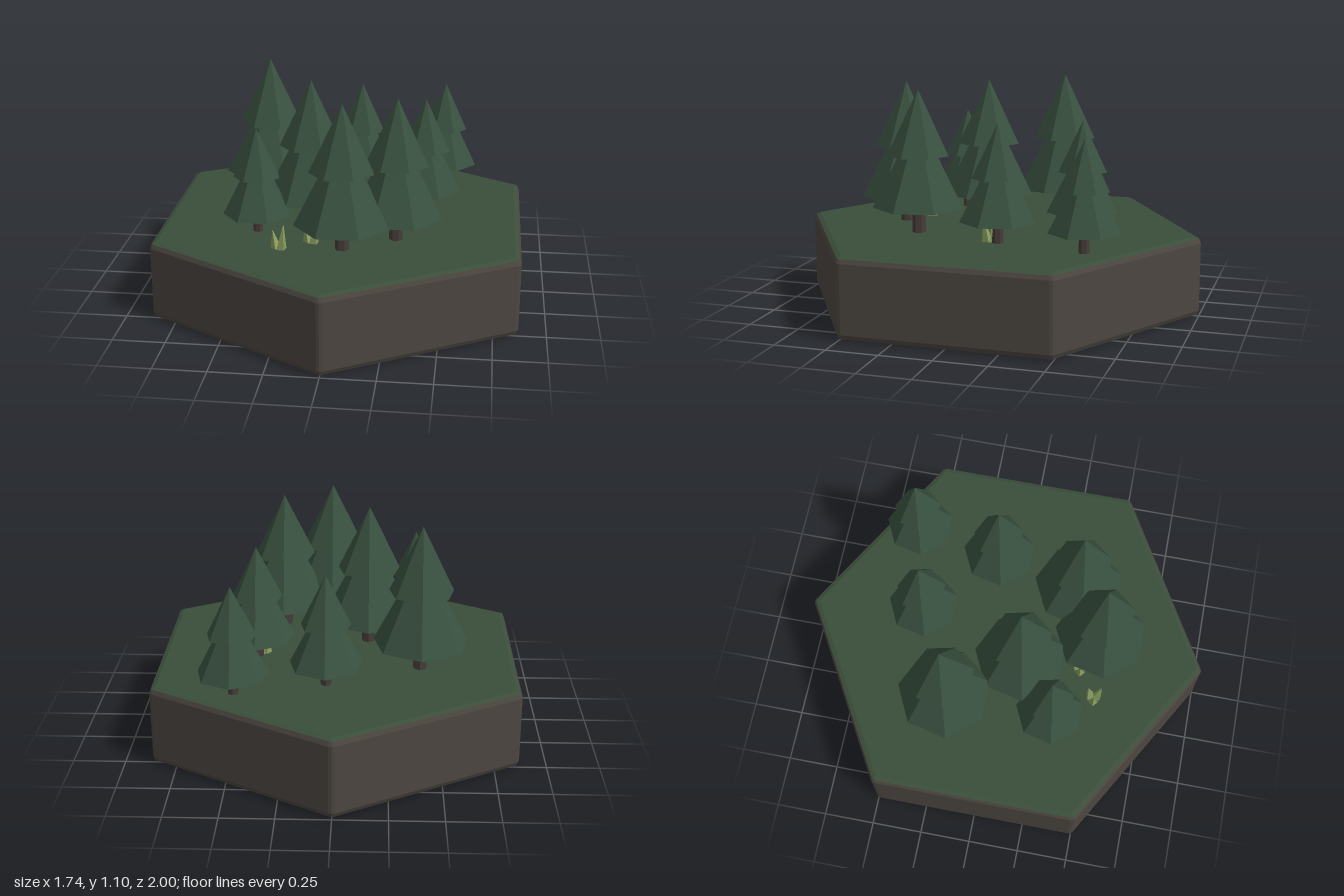
import * as THREE from 'three';

const mat = (name, color) => new THREE.MeshStandardMaterial({ name, color });
const GROUND = 0.39;

// Flat-shaded mesh from any geometry
function facet(name, geometry, material) {
  const geo = geometry.index ? geometry.toNonIndexed() : geometry;
  geo.computeVertexNormals();
  const mesh = new THREE.Mesh(geo, material);
  mesh.name = name;
  return mesh;
}

// Hexagon outline with corners rounded by e, at height y
function hexRing(e, y) {
  const ring = [];
  for (let k = 0; k < 6; k++) {
    const a = k * Math.PI / 3;
    for (const d of [-Math.PI / 6, 0, Math.PI / 6]) {
      ring.push([0.97 * Math.sin(a) + e * Math.sin(a + d), y, 0.97 * Math.cos(a) + e * Math.cos(a + d)]);
    }
  }
  return ring;
}

// Joins rings from bottom to top, with optional end caps
function loft(rings, capBottom, capTop) {
  const pos = [];
  const tri = (a, b, c) => pos.push(...a, ...b, ...c);
  const n = rings[0].length;
  const first = rings[0], last = rings[rings.length - 1];
  for (let i = 0; i < n; i++) {
    const j = (i + 1) % n;
    for (let r = 0; r < rings.length - 1; r++) {
      const lo = rings[r], hi = rings[r + 1];
      tri(lo[i], lo[j], hi[j]);
      tri(lo[i], hi[j], hi[i]);
    }
    if (capBottom) tri([0, first[0][1], 0], first[j], first[i]);
    if (capTop) tri([0, last[0][1], 0], last[i], last[j]);
  }
  const geo = new THREE.BufferGeometry();
  geo.setAttribute('position', new THREE.Float32BufferAttribute(pos, 3));
  return geo;
}

export function createModel() {
  const model = new THREE.Group();
  model.name = 'forestTile';
  const earth = mat('earth', 0x4c4640);
  const grass = mat('grass', 0x3a4e3a);
  const needles = mat('needles', 0x395140);
  const bark = mat('bark', 0x463c38);
  const tuftGreen = mat('tuftGreen', 0x8ba060);

  // Bevelled hexagonal slab and its grass top
  model.add(facet('slab', loft([
    hexRing(0, 0), hexRing(0.021, 0.009), hexRing(0.03, 0.03),
    hexRing(0.03, 0.36), hexRing(0.021, 0.381),
  ], true, false), earth));
  model.add(facet('grassTop', loft([hexRing(0.021, 0.381), hexRing(0, GROUND)], false, true), grass));

  // Two-tier seven-sided firs: x, z, scale
  const tier = (name, radius, bottom, height) => {
    const mesh = facet(name, new THREE.ConeGeometry(radius, height, 7, 1, false, Math.PI), needles);
    mesh.position.y = bottom + height / 2;
    return mesh;
  };
  const trees = [
    [-0.40, -0.23, 1], [0.045, -0.43, 0.76], [0.47, -0.54, 0.735], [0.39, -0.11, 0.79],
    [-0.15, 0.10, 0.985], [-0.385, 0.29, 0.72], [0.04, 0.47, 0.985], [0.28, 0.32, 0.97],
  ];
  trees.forEach(([x, z, s], i) => {
    const tree = new THREE.Group();
    tree.name = `tree${i + 1}`;
    const trunk = facet('trunk', new THREE.CylinderGeometry(0.032, 0.034, 0.2, 7, 1, false, Math.PI), bark);
    trunk.position.y = 0.1;
    tree.add(trunk, tier('lowerBranches', 0.23, 0.13, 0.45), tier('upperBranches', 0.157, 0.388, 0.324));
    tree.position.set(x, GROUND, z);
    tree.scale.setScalar(s);
    model.add(tree);
  });

  // Grass tufts of three leaning blades
  [[-0.25, 0.49], [-0.11, 0.40], [0.37, -0.07]].forEach(([x, z], i) => {
    const tuft = new THREE.Group();
    tuft.name = `tuft${i + 1}`;
    for (let k = 0; k < 3; k++) {
      const height = 0.125 - k * 0.015;
      const blade = facet('blade', new THREE.ConeGeometry(0.026, height, 4).translate(0, height / 2, 0), tuftGreen);
      blade.rotation.x = 0.15;
      blade.position.z = 0.018;
      const turn = new THREE.Group();
      turn.name = 'bladeTurn';
      turn.rotation.y = 0.6 + k * Math.PI * 2 / 3;
      turn.add(blade);
      tuft.add(turn);
    }
    tuft.position.set(x, GROUND - 0.003, z);
    model.add(tuft);
  });

  return model;
}
